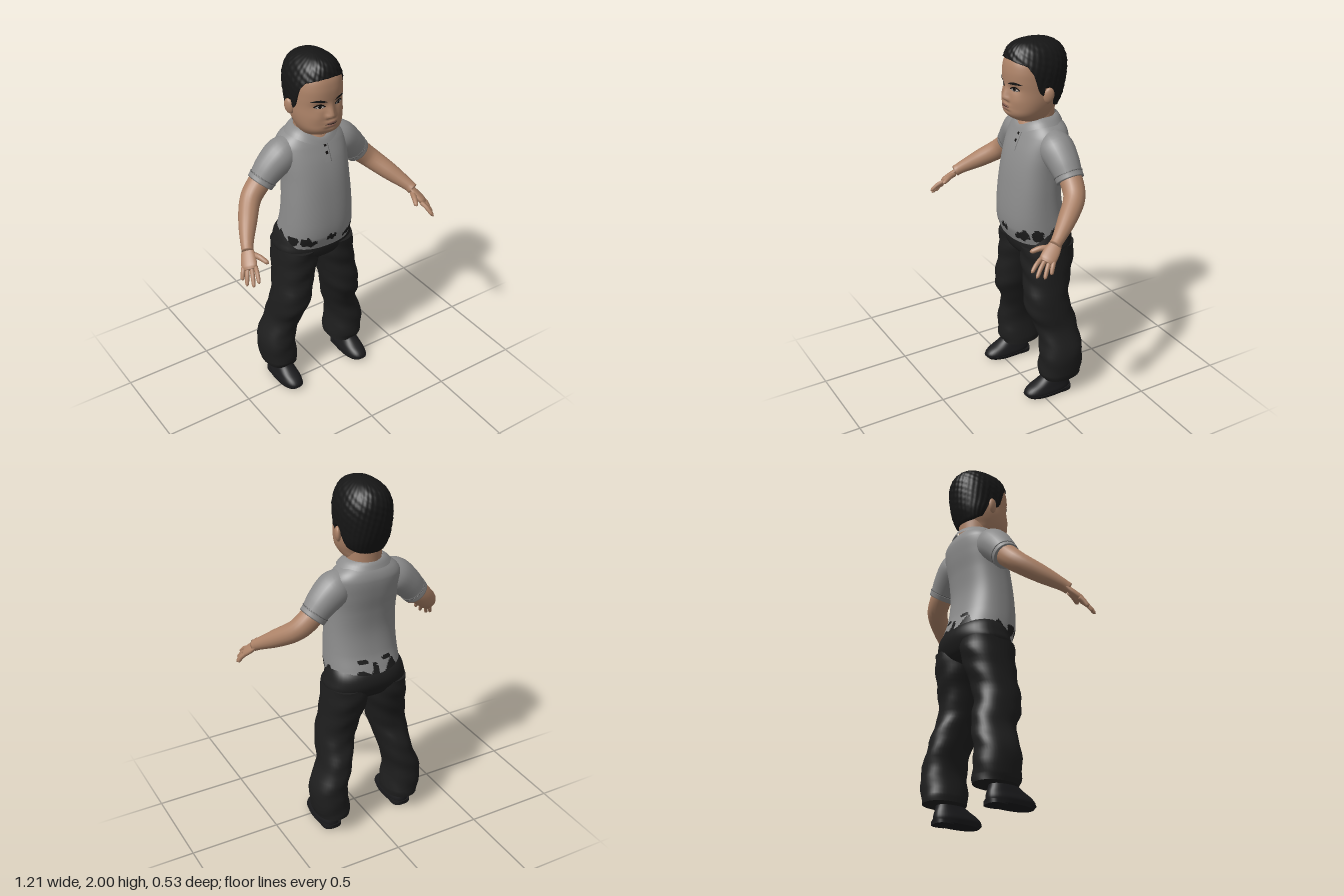
import * as THREE from 'three';

const paint = (color) => new THREE.MeshStandardMaterial({ color, side: THREE.DoubleSide });
const M = {
  skin: paint(0xad8368), shirt: paint(0x8c8c8c), seam: paint(0x686868), trousers: paint(0x1e1e1e),
  hair: paint(0x161616), shoe: paint(0x1b1b1d), dark: paint(0x0e0c0b), eyeWhite: paint(0xb5aaa2), lip: paint(0x93685a),
};
for (const k in M) M[k].name = k;
const V = (x, y, z) => new THREE.Vector3(x, y, z);
const bump = (d, w) => Math.exp(-(d * d) / (w * w));

// Grid of points fn(u, row); colour picks a material index per triangle
function surface(name, nu, nv, fn, mats, { closed = true, colour } = {}) {
  const cols = closed ? nu : nu + 1, pos = [];
  for (let j = 0; j <= nv; j++) for (let i = 0; i < cols; i++) pos.push(...fn(i / nu, j).toArray());
  const list = [].concat(mats), tris = list.map(() => []);
  const add = (...t) => {
    const c = [0, 1, 2].map((k) => t.reduce((s, v) => s + pos[v * 3 + k] / 3, 0));
    tris[colour ? colour(...c) : 0].push(...t);
  };
  for (let j = 0; j < nv; j++) for (let i = 0; i < nu; i++) {
    const a = j * cols + i, b = j * cols + ((i + 1) % cols);
    add(a, b, a + cols);
    add(b, b + cols, a + cols);
  }
  const g = new THREE.BufferGeometry();
  g.setAttribute('position', new THREE.Float32BufferAttribute(pos, 3));
  g.setIndex(tris.flat());
  g.computeVertexNormals();
  let start = 0;
  if (list.length > 1) tris.forEach((t, k) => { g.addGroup(start, t.length, k); start += t.length; });
  const mesh = new THREE.Mesh(g, list.length > 1 ? list : list[0]);
  mesh.name = name;
  return mesh;
}

// Smooth upright form from rows of [y, xMin, xMax, zBack, zFront]
function form(rows, power = 2) {
  const at = (y) => {
    let i = 0;
    while (i < rows.length - 2 && y > rows[i + 1][0]) i++;
    const A = rows[i], B = rows[i + 1], h = B[0] - A[0], t = THREE.MathUtils.clamp((y - A[0]) / h, 0, 1);
    const P = rows[Math.max(i - 1, 0)], N = rows[Math.min(i + 2, rows.length - 1)];
    return A.map((a, k) => {
      const m0 = (B[k] - P[k]) / (B[0] - P[0]) * h, m1 = (N[k] - a) / (N[0] - A[0]) * h;
      return a + t * m0 + t * t * (3 * (B[k] - a) - 2 * m0 - m1) + t * t * t * (2 * (a - B[k]) + m0 + m1);
    });
  };
  const round = (c) => Math.sign(c) * Math.abs(c) ** (2 / power);
  const point = (angle, y, grow = 1) => {
    const [, x0, x1, z0, z1] = at(y);
    return V((x0 + x1) / 2 + grow * (x1 - x0) / 2 * round(Math.cos(angle)), y,
      (z0 + z1) / 2 - grow * (z1 - z0) / 2 * round(Math.sin(angle)));
  };
  // Front surface point above a given x
  const front = (x, y) => {
    const [, , hw] = at(y), c = THREE.MathUtils.clamp(x / hw, -1, 1);
    return point(-Math.acos(Math.sign(c) * Math.abs(c) ** (power / 2)), y);
  };
  const ys = (sub) => rows.slice(0, -1).flatMap((r, i) => Array.from({ length: sub }, (_, k) => r[0] + (rows[i + 1][0] - r[0]) * k / sub)).concat(rows.at(-1)[0]);
  return { point, front, ys };
}
const even = (rows) => rows.map(([y, w, b, f]) => [y, -w, w, b, f]);

// Upright form as a mesh, with flat end caps
function upright(name, f, mats, { nu = 40, sub = 4, shape = (p) => p, colour } = {}) {
  const y = f.ys(sub), n = y.length, rows = [y[0], y[0], ...y, y[n - 1], y[n - 1]];
  return surface(name, nu, rows.length - 1, (u, j) =>
    shape(f.point(u * Math.PI * 2, rows[j], j === 0 || j === rows.length - 1 ? 0 : 1)), mats, { colour });
}

// Round or flattened limb along points of [x, y, z, radius]
function limb(name, pts, mat, wide = V(1, 1, 0), thick = 1, nu = 20) {
  const path = new THREE.CatmullRomCurve3(pts.map((p) => V(p[0], p[1], p[2])));
  const size = new THREE.SplineCurve(pts.map((p, i) => new THREE.Vector2(i, p[3])));
  const nv = (pts.length - 1) * 5;
  return surface(name, nu, nv + 2, (u, j) => {
    const t = THREE.MathUtils.clamp((j - 1) / nv, 0, 1), T = path.getTangent(t);
    const W = wide.clone().addScaledVector(T, -wide.dot(T)).normalize(), N = T.clone().cross(W);
    const r = j === 0 || j === nv + 2 ? 0 : size.getPoint(t).y, a = u * Math.PI * 2;
    return path.getPoint(t).addScaledVector(W, r * Math.cos(a)).addScaledVector(N, r * thick * Math.sin(a));
  }, mat);
}

export function createModel() {
  const model = new THREE.Group();
  model.name = 'child';
  const add = (...m) => model.add(...m);

  // Shirt body, with the trousers showing through around the hem
  const torso = form(even([[0.92, 0.195, -0.235, 0.07], [0.96, 0.2, -0.25, 0.086], [1, 0.2, -0.24, 0.098], [1.08, 0.196, -0.215, 0.1],
    [1.2, 0.19, -0.2, 0.09], [1.32, 0.186, -0.21, 0.072], [1.42, 0.19, -0.228, 0.045], [1.5, 0.19, -0.235, 0.01],
    [1.54, 0.165, -0.225, -0.012], [1.575, 0.115, -0.2, -0.035], [1.59, 0.09, -0.185, -0.05]]), 2.4);
  const holes = [[0, 0.988, 0.032, 0.02], [0.12, 0.965, 0.042, 0.022], [0.14, 0.985, 0.022, 0.022], [0.185, 0.97, 0.016, 0.035]];
  const torn = (x, y, z) => {
    if (z < -0.03) {
      const s = Math.abs(x) * 1.2 - z;
      return y < 0.995 + 0.028 * Math.sin(s * 62) + 0.02 * Math.sin(x * 47 + 1) || (z < -0.15 && ((Math.abs(x) - 0.07) / 0.03) ** 2 + ((y - 1.045) / 0.012) ** 2 < 1) ? 1 : 0;
    }
    return holes.some(([hx, hy, w, h]) => ((Math.abs(x) - hx) / w) ** 2 + ((y - hy + 0.006 * Math.sin(x * 160)) / h) ** 2 < 1) ? 1 : 0;
  };
  add(upright('shirt', torso, [M.shirt, M.trousers], { nu: 128, sub: 7, colour: torn }));

  // Collar, placket and buttons
  add(surface('collar', 48, 3, (u, j) => {
    const a = u * Math.PI * 2, f = Math.max(0, -Math.sin(a)) ** 3, k = j / 3;
    return V((0.145 - 0.05 * k) * Math.cos(a), 1.56 + 0.035 * Math.sin(k * 1.57) - 0.045 * f, -0.1 - (0.125 - 0.022 * k) * Math.sin(a));
  }, M.shirt));
  const strip = (name, cx, cy, w, h, lift, mat) => add(surface(name, 4, 6, (u, j) => {
    const p = torso.front(cx + (u - 0.5) * w, cy + (j / 6 - 0.5) * h);
    return p.setZ(p.z + lift);
  }, mat, { closed: false }));
  strip('placket', 0.008, 1.475, 0.036, 0.11, 0.004, M.shirt);
  strip('placketEdge', 0.028, 1.475, 0.004, 0.11, 0.005, M.seam);
  for (const y of [1.505, 1.468]) strip('button', 0.01, y, 0.015, 0.014, 0.008, M.dark);

  // Trouser seat
  add(upright('trouserSeat', form(even([[0.8, 0.06, -0.16, -0.02], [0.83, 0.17, -0.22, 0.03], [0.88, 0.226, -0.252, 0.05],
    [0.93, 0.219, -0.262, 0.05], [0.98, 0.204, -0.245, 0.04], [1.02, 0.18, -0.2, 0.03]]), 2.4), M.trousers));

  for (const s of [1, -1]) {
    const side = s > 0 ? 'left' : 'right';
    const mir = (pts) => pts.map(([x, ...r]) => [x * s, ...r]);
    const cut = (rows) => rows.map(([y, a, b, z0, z1]) => [y, Math.min(a * s, b * s), Math.max(a * s, b * s), z0, z1]);

    // Flared trouser leg with soft folds
    const leg = form(cut([[0.1, 0.125, 0.312, -0.243, -0.01], [0.14, 0.123, 0.323, -0.248, 0], [0.27, 0.136, 0.328, -0.246, -0.003],
      [0.4, 0.106, 0.278, -0.238, 0], [0.5, 0.08, 0.268, -0.215, 0.042], [0.58, 0.056, 0.26, -0.195, 0.055],
      [0.7, 0.03, 0.243, -0.217, 0.045], [0.8, 0.002, 0.234, -0.243, 0.048], [0.89, 0.002, 0.226, -0.25, 0.048]]), 2.3);
    add(upright(side + 'TrouserLeg', leg, M.trousers, {
      shape: (p) => p.setZ(p.z + 0.004 * Math.sin(p.y * 55 + p.x * s * 25)),
    }));

    // Shoe and sole
    add(upright(side + 'Shoe', form(cut([[0.015, 0.165, 0.285, -0.18, 0.092], [0.035, 0.162, 0.288, -0.182, 0.098], [0.06, 0.168, 0.282, -0.178, 0.075],
      [0.085, 0.175, 0.277, -0.17, 0.025], [0.11, 0.18, 0.272, -0.165, -0.01], [0.15, 0.18, 0.27, -0.16, -0.03]]), 2.4), M.shoe));
    add(upright(side + 'Sole', form(cut([[0.006, 0.164, 0.287, -0.184, 0.085], [0.024, 0.16, 0.291, -0.187, 0.102]]), 2.4), M.shoe));
    add(upright(side + 'Heel', form(cut([[0, 0.17, 0.28, -0.184, -0.08], [0.02, 0.17, 0.28, -0.184, -0.08]]), 2.8), M.shoe));

    // Sleeve and cuff
    add(limb(side + 'Sleeve', mir([[0.1, 1.49, -0.11, 0.07], [0.172, 1.452, -0.11, 0.092], [0.24, 1.397, -0.113, 0.084], [0.303, 1.325, -0.115, 0.07]]), M.shirt, V(s, 1, 0)));
    add(limb(side + 'Cuff', mir([[0.288, 1.342, -0.115, 0.075], [0.305, 1.322, -0.115, 0.073]]), M.shirt, V(s, 1, 0)));
    add(limb(side + 'CuffSeam', mir([[0.284, 1.347, -0.115, 0.0765], [0.287, 1.3435, -0.115, 0.0765]]), M.seam, V(s, 1, 0)));

    // Arm
    add(limb(side + 'Arm', mir([[0.24, 1.4, -0.112, 0.058], [0.31, 1.325, -0.115, 0.06], [0.375, 1.262, -0.095, 0.056], [0.45, 1.19, -0.005, 0.048],
      [0.51, 1.13, 0.085, 0.033], [0.525, 1.11, 0.115, 0.031]]), M.skin, V(s, 1, 0)));

    // Hand, with fingers and thumb
    const across = V(0.047 * s, -0.015, -0.055);
    add(limb(side + 'Palm', mir([[0.517, 1.122, 0.098, 0.03], [0.533, 1.09, 0.132, 0.04], [0.549, 1.06, 0.168, 0.042], [0.555, 1.048, 0.182, 0.03]]), M.skin, across, 0.45));
    const fingers = [[0.526, 1.062, 0.19, 0.55, 1.01, 0.262], [0.543, 1.055, 0.18, 0.572, 0.986, 0.246],
      [0.558, 1.052, 0.164, 0.592, 0.981, 0.212], [0.57, 1.052, 0.146, 0.598, 0.998, 0.178]];
    const digit = (name, [x, y, z, X, Y, Z], r) => add(limb(name, mir([[x, y, z, r], [(x + X) / 2, (y + Y) / 2 + 0.006, (z + Z) / 2, r],
      [x + (X - x) * 0.9, y + (Y - y) * 0.9, z + (Z - z) * 0.9, r * 0.8], [X, Y, Z, r * 0.25]]), M.skin, across, 1, 10));
    fingers.forEach((f) => digit(side + 'Finger', f, 0.0115));
    digit(side + 'Thumb', [0.51, 1.098, 0.13, 0.468, 1.078, 0.222], 0.0145);

    // Ear
    const ear = new THREE.Mesh(new THREE.SphereGeometry(1, 20, 14), M.skin);
    ear.name = side + 'Ear';
    ear.scale.set(0.016, 0.042, 0.028);
    ear.position.set(0.139 * s, 1.728, -0.085);
    ear.rotation.set(-0.15, -0.35 * s, -0.12 * s);
    add(ear);
  }

  // Neck
  add(upright('neck', form(even([[1.5, 0.085, -0.19, 0], [1.54, 0.09, -0.19, 0.008], [1.58, 0.09, -0.19, -0.01], [1.66, 0.092, -0.195, -0.01]])), M.skin));

  // Head, with nose, brow, cheeks, lips and eye sockets raised by rule
  const head = form(even([[1.572, 0.06, -0.14, 0], [1.585, 0.085, -0.155, 0.035], [1.605, 0.1, -0.165, 0.066], [1.63, 0.113, -0.17, 0.082], [1.66, 0.123, -0.185, 0.083], [1.7, 0.13, -0.205, 0.08],
    [1.75, 0.132, -0.22, 0.078], [1.8, 0.133, -0.23, 0.082], [1.85, 0.131, -0.23, 0.081], [1.9, 0.118, -0.215, 0.068], [1.95, 0.085, -0.18, 0.03], [1.975, 0.04, -0.12, -0.04]]), 2.3);
  const features = (p) => {
    if (p.z < -0.02) return p;
    const x = Math.abs(p.x), y = p.y;
    const ridge = THREE.MathUtils.smoothstep(y, 1.688, 1.706) * (1 - THREE.MathUtils.smoothstep(y, 1.706, 1.79));
    p.z += 0.027 * ridge * bump(x, 0.02) + 0.008 * bump(x - 0.022, 0.01) * bump(y - 1.704, 0.012)
      + 0.009 * bump(x, 0.032) * (bump(y - 1.672, 0.009) + bump(y - 1.653, 0.009))
      - 0.01 * bump(x - 0.055, 0.03) * bump(y - 1.762, 0.018) + 0.005 * bump(x - 0.07, 0.035) * bump(y - 1.7, 0.03)
      - 0.005 * bump(x, 0.03) * bump(y - 1.637, 0.008);
    return p;
  };
  add(upright('head', head, M.skin, { nu: 128, sub: 6, shape: features }));

  // Thin lens-shaped patches on the face
  const patch = (name, cx, cy, w, h, lift, mat, arch = 0, tilt = 0) => add(surface(name, 12, 4, (u, j) => {
    const k = u * 2 - 1, y = cy + (j / 2 - 1) * h * (1 - k * k * 0.9) - arch * k * k + tilt * k;
    const p = features(head.front(cx + k * w, y));
    return p.setZ(p.z + lift);
  }, mat, { closed: false }));
  for (const s of [1, -1]) {
    patch('eyeOutline', 0.056 * s, 1.763, 0.029, 0.0125, 0.002, M.dark, 0.003);
    patch('eyeWhite', 0.056 * s, 1.76, 0.023, 0.0075, 0.004, M.eyeWhite, 0.002);
    patch('iris', 0.055 * s, 1.761, 0.0095, 0.009, 0.006, M.dark);
    patch('eyebrow', 0.06 * s, 1.794, 0.038, 0.007, 0.003, M.hair, 0.007, 0.002 * s);
  }
  patch('upperLip', 0, 1.671, 0.034, 0.006, 0.002, M.lip, 0.004);
  patch('lowerLip', 0, 1.656, 0.028, 0.007, 0.002, M.lip, -0.004);
  patch('mouthLine', 0, 1.664, 0.036, 0.0018, 0.004, M.dark, 0.001);

  // Hair cap, its lower edge following the forehead, sideburns and nape
  const hair = form(even([[1.63, 0.1, -0.19, 0], [1.7, 0.128, -0.222, 0.04], [1.75, 0.138, -0.237, 0.085], [1.8, 0.141, -0.246, 0.09], [1.85, 0.14, -0.25, 0.087],
    [1.9, 0.129, -0.247, 0.078], [1.95, 0.104, -0.222, 0.06], [1.98, 0.068, -0.178, 0.025], [1.995, 0.03, -0.12, -0.03], [2, 0.003, -0.078, -0.072]]), 2.3);
  const edge = [[-0.26, 1.635], [-0.13, 1.665], [-0.112, 1.7], [-0.1, 1.768], [-0.066, 1.77], [-0.056, 1.725], [-0.04, 1.735], [-0.02, 1.79], [0, 1.845], [0.03, 1.885], [0.1, 1.912]];
  const hairline = (z) => {
    const i = Math.max(1, edge.findIndex((e) => e[0] >= z));
    return THREE.MathUtils.mapLinear(z, edge[i - 1][0], edge[i][0], edge[i - 1][1], edge[i][1]);
  };
  add(surface('hair', 160, 41, (u, j) => {
    const a = u * Math.PI * 2, low = hairline(hair.point(a, 1.8).z), v = Math.max(0, j - 1) / 40;
    const y = low + (2 - low) * (1 - (1 - v) ** 2);
    const tuft = 1 + 0.014 * Math.sin(a * 23 + y * 70) * Math.sin(a * 9 - y * 110);
    return hair.point(a, y, j === 0 ? 0.88 : tuft);
  }, M.hair));

  return model;
}
